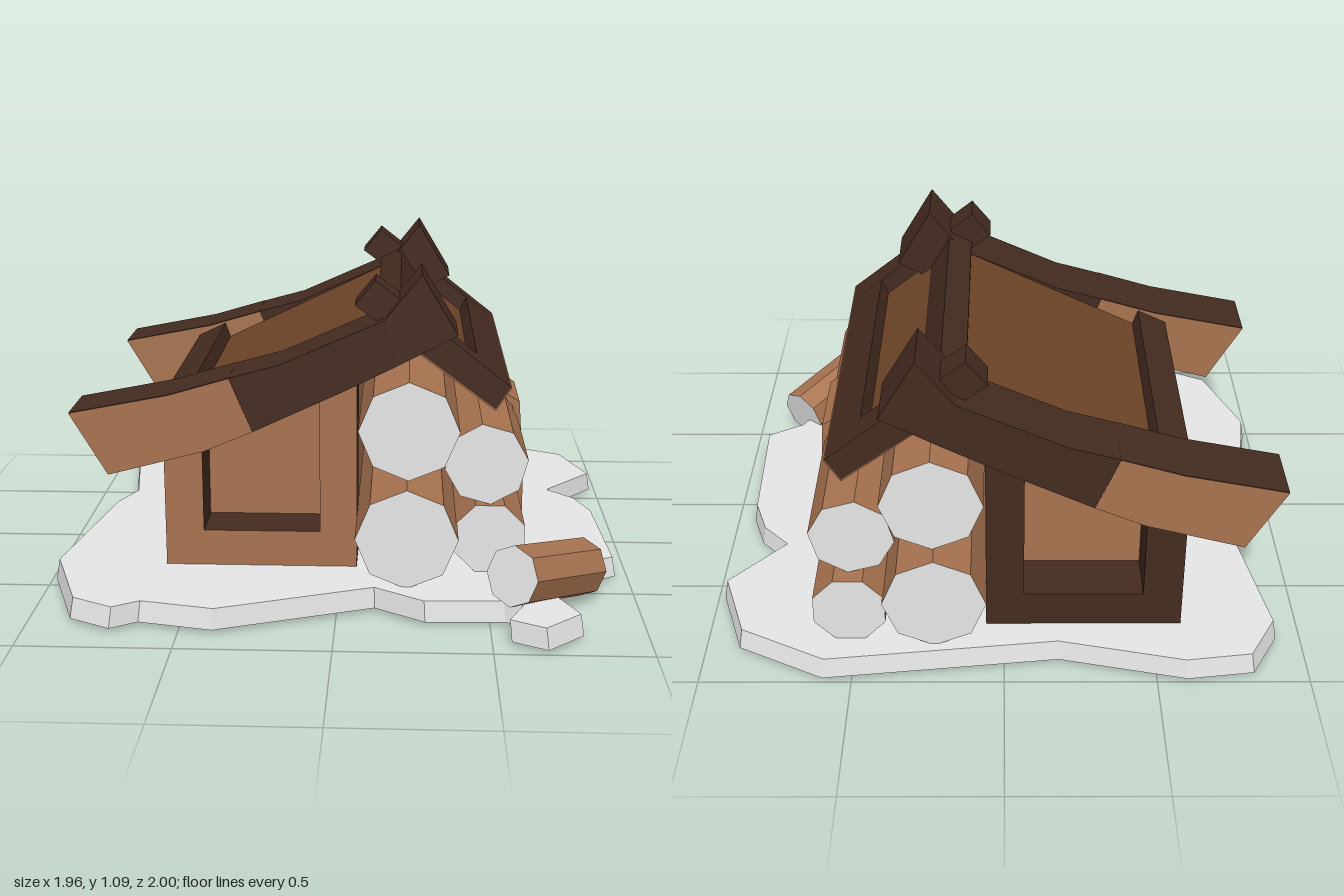
import * as THREE from 'three';

const mat = (name, color) => {
  const m = new THREE.MeshStandardMaterial({ color });
  m.name = name;
  return m;
};

export function createModel() {
  const group = new THREE.Group();
  const wood = mat('wood', 0xa87350);
  const dark = mat('darkTimber', 0x442b20);
  const roof = mat('roofBoards', 0x6e4528);
  const grey = mat('paleGrey', 0xe6e6e6);
  grey.side = THREE.DoubleSide; // the ground slab is an open shell

  // Flat facets without shared normals
  const add = (name, geometry, material) => {
    const g = geometry.index ? geometry.toNonIndexed() : geometry;
    g.computeVertexNormals();
    const mesh = new THREE.Mesh(g, material);
    mesh.name = name;
    group.add(mesh);
    return mesh;
  };
  const shapeOf = (pts, hole) => {
    const s = new THREE.Shape(pts.map(([x, y]) => new THREE.Vector2(x, y)));
    if (hole) s.holes.push(new THREE.Path(hole.map(([x, y]) => new THREE.Vector2(x, y))));
    return s;
  };
  const extrude = (pts, depth, hole) =>
    new THREE.ExtrudeGeometry(shapeOf(pts, hole), { depth, bevelEnabled: false });
  // Front-profile prism running from z0 to z1
  const prism = (name, pts, z0, z1, material, hole) =>
    add(name, extrude(pts, z1 - z0, hole).translate(0, 0, z0), material);

  // Ground slab: top face and a flared rim, open underneath
  const outline = [
    [-0.82, -0.97], [-0.6, -1], [-0.18, -0.905], [0.595, -0.995], [0.885, -0.845], [0.975, -0.58],
    [0.79, -0.365], [0.885, -0.265], [0.935, -0.12], [0.955, 0.37], [0.825, 0.45], [0.7, 0.68],
    [0.74, 0.77], [0.79, 0.88], [0.67, 0.995], [0.56, 0.935], [0.61, 0.82], [0.55, 0.785],
    [0.29, 0.795], [0.125, 0.685], [-0.39, 0.885], [-0.635, 0.83], [-0.72, 0.885], [-0.86, 0.81],
    [-0.98, 0.47], [-0.89, -0.15], [-0.835, -0.29], [-0.915, -0.8],
  ];
  const topEdge = outline.map(([x, z]) => [x * 0.988, z * 0.988]);
  add('groundTop',
    new THREE.ShapeGeometry(shapeOf(topEdge.map(([x, z]) => [x, -z]))).rotateX(-Math.PI / 2).translate(0, 0.09, 0),
    grey);
  const rim = [];
  outline.forEach(([x, z], i) => {
    const j = (i + 1) % outline.length;
    const a = [x, 0.02, z], b = [outline[j][0], 0.02, outline[j][1]];
    const c = [topEdge[j][0], 0.09, topEdge[j][1]], d = [topEdge[i][0], 0.09, topEdge[i][1]];
    rim.push(...a, ...d, ...c, ...a, ...c, ...b);
  });
  const rimGeometry = new THREE.BufferGeometry();
  rimGeometry.setAttribute('position', new THREE.Float32BufferAttribute(rim, 3));
  add('groundRim', rimGeometry, grey);

  // Hut gable frames with recessed panels
  const gable = [[-0.59, 0.091], [0.06, 0.091], [0.06, 0.79], [-0.59, 0.52]];
  const opening = [[-0.46, 0.215], [-0.46, 0.53], [-0.065, 0.7], [-0.065, 0.215]];
  prism('frontWallFrame', gable, 0.315, 0.495, [wood, dark], opening);
  prism('backWallFrame', gable, -0.805, -0.625, dark, opening);
  prism('hutCore', [[-0.47, 0.095], [0.05, 0.095], [0.05, 0.78], [-0.47, 0.565]], -0.625, 0.315, wood);

  // Outer side wall frame, drawn along z then turned to face -x
  const sideFrame = extrude(
    [[-0.315, 0.091], [0.625, 0.091], [0.625, 0.55], [-0.315, 0.55]], 0.12,
    [[-0.3, 0.215], [-0.3, 0.46], [0.61, 0.46], [0.61, 0.215]]);
  add('sideWallFrame', sideFrame.rotateY(Math.PI / 2).translate(-0.59, 0, 0), dark);

  // Curved gable beams: dark upper part, bare lower end with a dark top
  const upper = [
    [-0.29, 0.565], [0.02, 0.71], [0.19, 0.795], [0.39, 0.9],
    [0.27, 1.1], [0.15, 0.95], [-0.2, 0.795], [-0.365, 0.75],
  ];
  const lowerTop = [[-0.365, 0.747], [-0.57, 0.687], [-0.905, 0.622]];
  const lower = [[-0.78, 0.41], [-0.455, 0.495], [-0.29, 0.565], ...lowerTop];
  const cap = [...lowerTop, ...lowerTop.map(([x, y]) => [x, y + 0.004]).reverse()];
  for (const [side, z0, z1] of [['front', 0.28, 0.5], ['back', -0.81, -0.59]]) {
    prism(side + 'BeamUpper', upper, z0, z1, dark);
    prism(side + 'BeamEnd', lower, z0, z1, wood);
    prism(side + 'BeamEndTop', cap, z0, z1, dark);
  }

  // Long roof slope: boards, eave rail and ridge rail
  prism('longRoofBoards', [[-0.56, 0.55], [0.17, 0.89], [0.15, 0.95], [-0.56, 0.61]], -0.7, 0.4, roof);
  prism('eaveRail', [[-0.55, 0.52], [-0.46, 0.57], [-0.505, 0.7], [-0.61, 0.65]], -0.7, 0.4, dark);
  prism('ridgeRail', [[0.12, 0.83], [0.27, 0.88], [0.2, 1.0], [0.12, 0.962]], -0.7, 0.4, dark);

  // Short roof slope over the log pile
  const rail = [[0.05, 0.99], [0.52, 0.64], [0.57, 0.717], [0.118, 1.073]];
  prism('frontRoofRail', rail, 0.33, 0.455, dark);
  prism('backRoofRail', rail, -0.76, -0.645, dark);
  prism('lowerRoofRail', [[0.42, 0.715], [0.52, 0.64], [0.57, 0.717], [0.46, 0.803]], -0.645, 0.33, dark);
  prism('shortRoofBoards', [[0.2, 0.88], [0.47, 0.678], [0.5, 0.7], [0.2, 0.935]], -0.645, 0.33, roof);

  // Bare wood on the underside and lower edge of the short slope
  prism('roofEdgeFace', [[0.52, 0.64], [0.523, 0.638], [0.573, 0.715], [0.57, 0.717]], -0.76, 0.455, wood);
  prism('roofUnderside', [[0.2, 0.875], [0.52, 0.636], [0.522, 0.64], [0.202, 0.879]], -0.76, 0.455, wood);

  // Eight-sided logs between two points, turned about their own axis by twist
  const log = (name, a, b, r, twist = 0) => {
    const A = new THREE.Vector3(...a), B = new THREE.Vector3(...b);
    const dir = B.clone().sub(A);
    const g = new THREE.CylinderGeometry(r, r, dir.length(), 8).rotateY(twist);
    const m = add(name, g, [wood, grey, grey]);
    m.quaternion.setFromUnitVectors(new THREE.Vector3(0, 1, 0), dir.normalize());
    m.position.copy(A).add(B).multiplyScalar(0.5);
  };
  log('upperInnerLog', [0.233, 0.59, -0.835], [0.233, 0.59, 0.565], 0.168);
  log('lowerInnerLog', [0.228, 0.253, -0.905], [0.228, 0.253, 0.668], 0.17);
  log('upperOuterLog', [0.492, 0.465, -0.83], [0.492, 0.465, 0.51], 0.14, 0.12);
  log('lowerOuterLog', [0.507, 0.208, -0.88], [0.507, 0.208, 0.523], 0.127, Math.PI / 8);
  log('looseLog', [0.565, 0.185, 0.8], [0.82, 0.105, 0.5], 0.1);

  // Strap holding the log pile
  prism('logStrap', [
    [0.48, 0.645], [0.47, 0.625], [0.61, 0.535], [0.628, 0.27], [0.628, 0.05],
    [0.655, 0.05], [0.655, 0.27], [0.635, 0.548],
  ], -0.285, 0.012, wood);

  return group;
}
